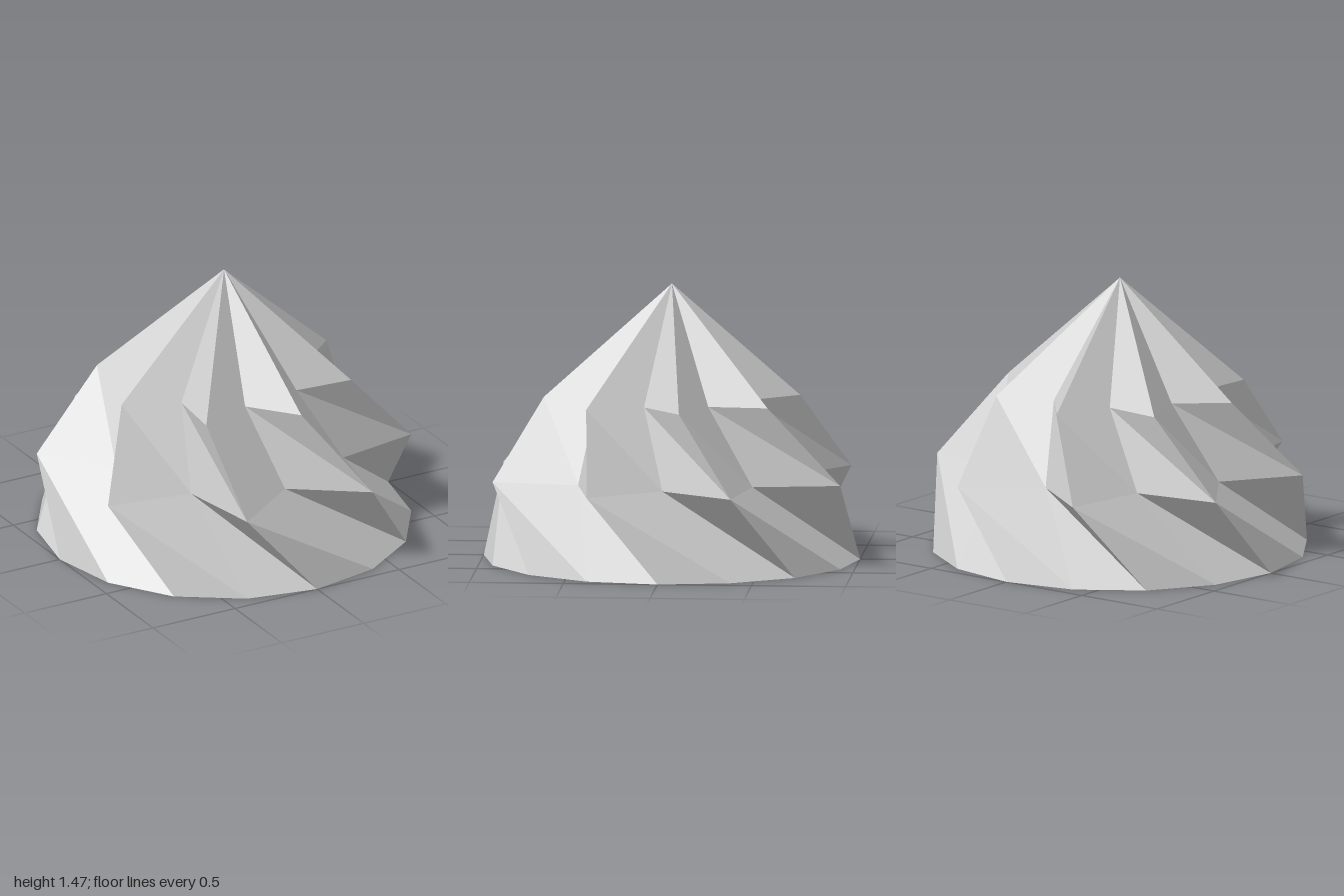
import * as THREE from 'three';

// Rings of the piped swirl: height, ridge radius, groove radius, twist in degrees
const RINGS = [
  { y: 0, ridge: 1, groove: 1, twist: 0 },
  { y: 0.447, ridge: 1, groove: 0.655, twist: 22.5 },
  { y: 0.863, ridge: 0.68, groove: 0.445, twist: 37.5 },
  { y: 1.465, ridge: 0, groove: 0, twist: 37.5 },
];
const SIDES = 16; // eight ridges alternating with eight grooves

function ringPoint(ring, i) {
  const a = THREE.MathUtils.degToRad((i * 360) / SIDES + ring.twist);
  const r = i % 2 ? ring.groove : ring.ridge;
  return [r * Math.cos(a), ring.y, r * Math.sin(a)];
}

function swirlGeometry() {
  const positions = [];
  const triangle = (a, b, c) => positions.push(...a, ...b, ...c);
  const top = RINGS.length - 1;

  for (let i = 0; i < SIDES; i++) {
    // Twisted bands, closing to a point at the last ring
    for (let k = 0; k < top; k++) {
      const a = ringPoint(RINGS[k], i);
      const b = ringPoint(RINGS[k], i + 1);
      const c = ringPoint(RINGS[k + 1], i);
      const d = ringPoint(RINGS[k + 1], i + 1);
      triangle(a, d, b);
      if (k < top - 1) triangle(a, c, d);
    }
    // Flat underside
    triangle([0, 0, 0], ringPoint(RINGS[0], i), ringPoint(RINGS[0], i + 1));
  }

  const geometry = new THREE.BufferGeometry();
  geometry.setAttribute('position', new THREE.Float32BufferAttribute(positions, 3));
  geometry.computeVertexNormals();
  return geometry;
}

export function createModel() {
  const group = new THREE.Group();
  group.name = 'creamDollop';
  const material = new THREE.MeshStandardMaterial({ color: 0xcccccc, flatShading: true });
  const swirl = new THREE.Mesh(swirlGeometry(), material);
  swirl.name = 'creamSwirl';
  group.add(swirl);
  return group;
}
